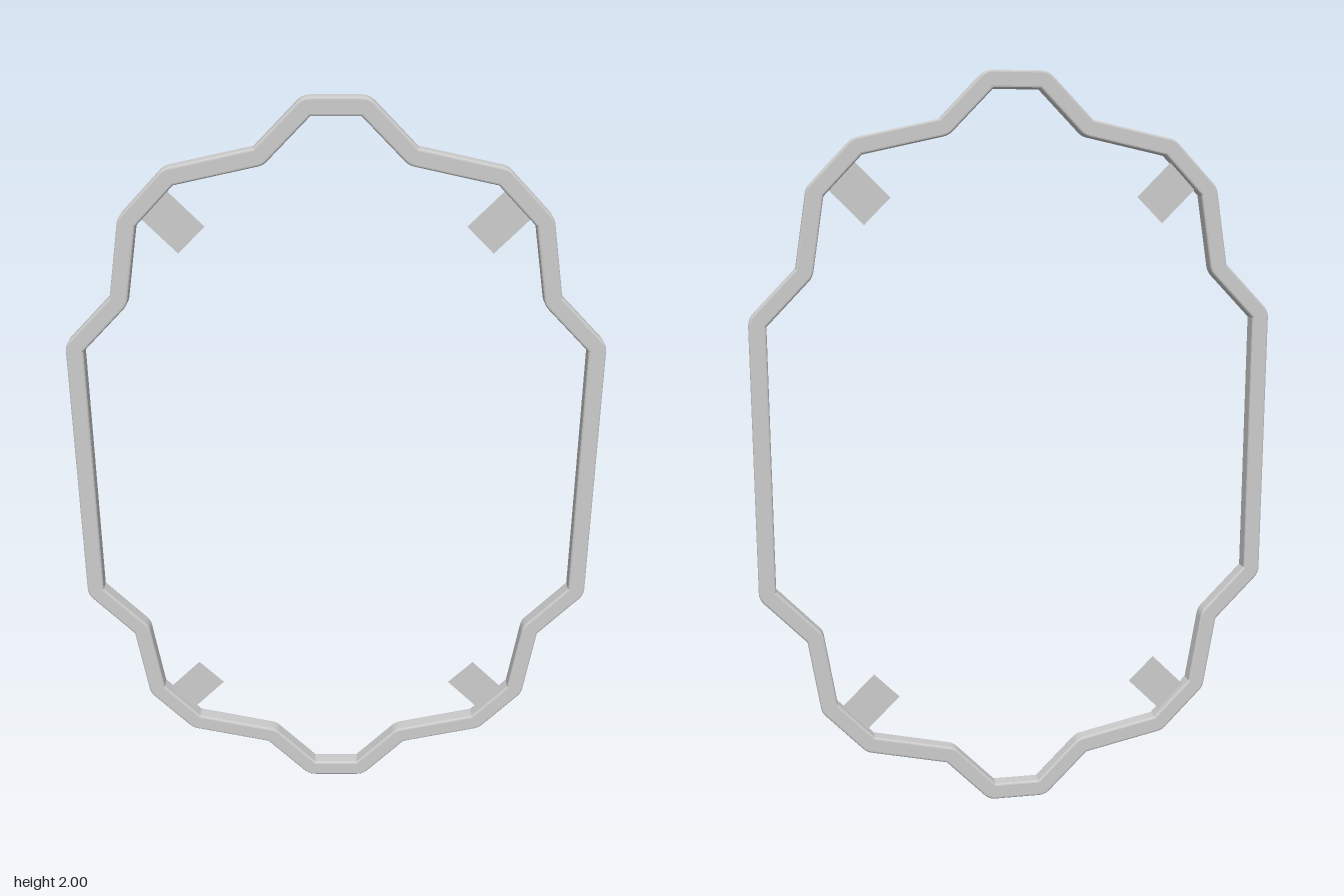
import * as THREE from 'three';

const BAR = 0.046;    // width of the frame bar
const DEPTH = 0.044;  // front-to-back thickness
const BEVEL = 0.006;

// Outer corners of one quadrant, relative to the frame's centre
const QUADRANT = [[0.081, 1], [0.201, 0.878], [0.424, 0.829], [0.543, 0.705], [0.576, 0.501], [0.7, 0.373]];

// Mirror the quadrant into a full clockwise outline
function fullOutline() {
  const v = (sx, sy) => QUADRANT.map(([x, y]) => new THREE.Vector2(x * sx, y * sy));
  return [...v(1, 1), ...v(1, -1).reverse(), ...v(-1, -1), ...v(-1, 1).reverse()];
}

const at = (pts, i) => pts[(i + pts.length) % pts.length];
const heading = (a, b) => b.clone().sub(a).normalize();

// Move every edge inward by d with mitred corners
function inset(pts, d) {
  return pts.map((p, i) => {
    const a = heading(at(pts, i - 1), p), b = heading(p, at(pts, i + 1));
    const n1 = new THREE.Vector2(a.y, -a.x), n2 = new THREE.Vector2(b.y, -b.x);
    const m = n1.clone().add(n2);
    return p.clone().addScaledVector(m, d / (1 + n1.dot(n2)));
  });
}

// Trace a loop with the bar on its right, rounding the corners where the bar bulges out
function trace(path, pts) {
  pts.forEach((p, i) => {
    const a = heading(at(pts, i - 1), p), b = heading(p, at(pts, i + 1));
    const cut = a.cross(b) < 0 ? BAR * Math.tan(Math.acos(a.dot(b)) / 2) : 0;
    const s = p.clone().addScaledVector(a, -cut), e = p.clone().addScaledVector(b, cut);
    if (i === 0) path.moveTo(s.x, s.y);
    else path.lineTo(s.x, s.y);
    if (cut) path.quadraticCurveTo(p.x, p.y, e.x, e.y);
  });
  path.closePath();
  return path;
}

export function createModel() {
  const group = new THREE.Group();
  const material = new THREE.MeshStandardMaterial({ color: 0xcccccc });
  const thin = new THREE.MeshStandardMaterial({ color: 0xcccccc, side: THREE.DoubleSide });

  // Scalloped frame, clockwise outside and counter-clockwise opening
  const outer = fullOutline();
  const shape = trace(new THREE.Shape(), outer);
  shape.holes.push(trace(new THREE.Path(), inset(outer, BAR).reverse()));
  const frameGeometry = new THREE.ExtrudeGeometry(shape, {
    depth: DEPTH - 2 * BEVEL, curveSegments: 5,
    bevelEnabled: true, bevelThickness: BEVEL, bevelSize: BEVEL, bevelOffset: -BEVEL, bevelSegments: 3,
  });
  frameGeometry.translate(0, 1, -DEPTH / 2 + BEVEL);
  const frame = new THREE.Mesh(frameGeometry, material);
  frame.name = 'frame';
  group.add(frame);

  // Thin mounting tabs pointing inward from the four diagonal bars
  for (const sx of [1, -1]) {
    for (const sy of [1, -1]) {
      const tab = new THREE.Mesh(new THREE.PlaneGeometry(0.13, 0.098), thin);
      tab.name = `${sy > 0 ? 'upper' : 'lower'}${sx > 0 ? 'Left' : 'Right'}Tab`;
      tab.position.set(sx * 0.409, 1 + sy * 0.691, 0);
      tab.rotation.z = sx * sy * Math.PI / 4;
      group.add(tab);
    }
  }
  return group;
}
